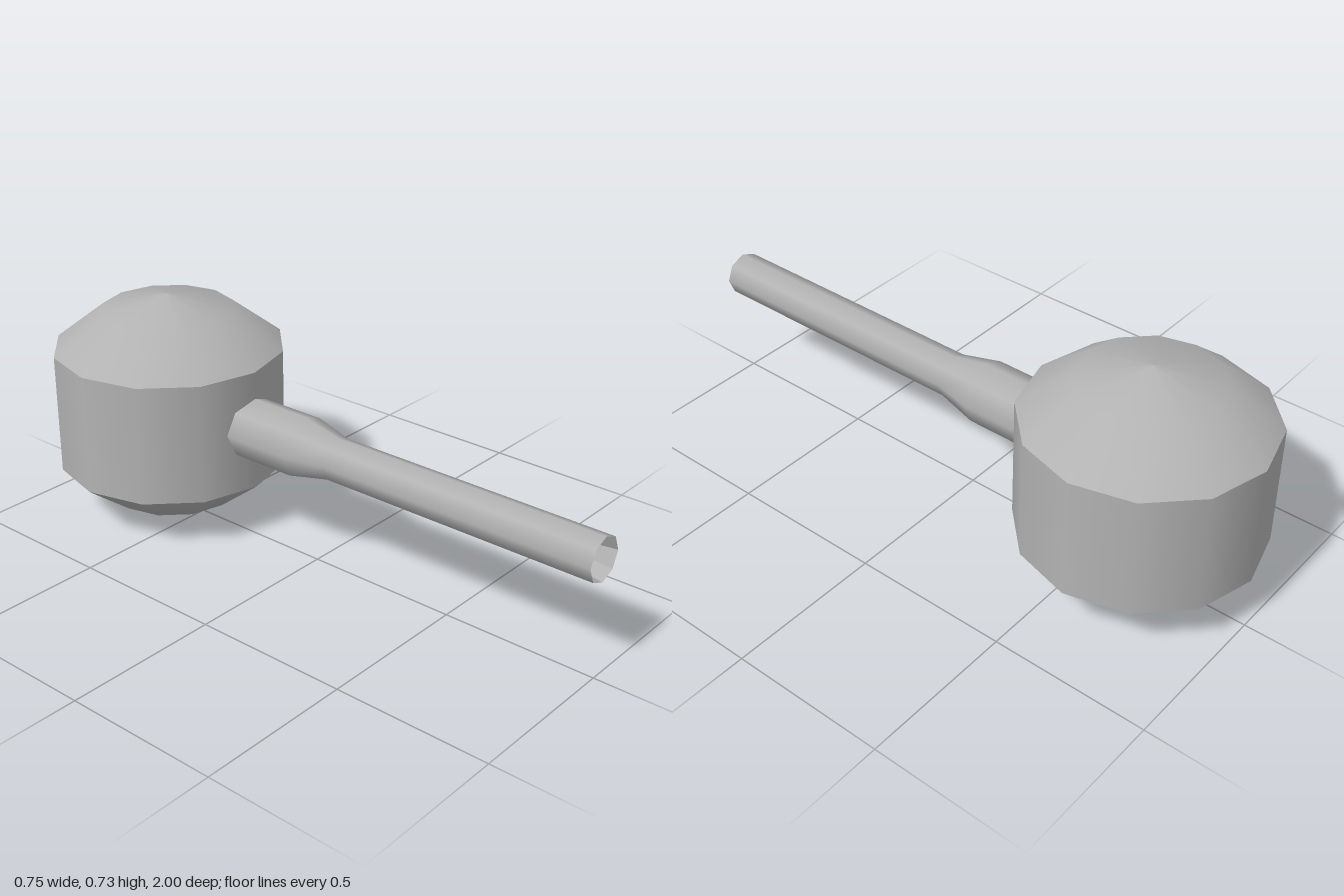
import * as THREE from 'three';
import { toCreasedNormals } from 'three/addons/utils/BufferGeometryUtils.js';

const grey = new THREE.MeshStandardMaterial({ color: 0xb2b2b2 });
grey.name = 'plain grey';

// Lathe mesh from [radius, height] pairs; rising profiles face outward
function turned(name, profile, sides, crease) {
  const points = profile.map(([r, y]) => new THREE.Vector2(r, y));
  let geometry = new THREE.LatheGeometry(points, sides);
  if (crease) geometry = toCreasedNormals(geometry, crease);
  const mesh = new THREE.Mesh(geometry, grey);
  mesh.name = name;
  return mesh;
}

export function createModel() {
  const model = new THREE.Group();
  model.name = 'model';

  // Twelve-sided head with sharp edges between the wall and the two domes
  const head = new THREE.Group();
  head.name = 'head';
  head.position.z = -0.627;
  head.add(
    turned('lowerDome', [[0, 0], [0.215, 0.049], [0.373, 0.171]], 12),
    turned('headWall', [[0.373, 0.171], [0.373, 0.563]], 12),
    turned('upperDome', [[0.373, 0.563], [0.215, 0.685], [0, 0.734]], 12),
  );

  // Eight-sided handle along z, thicker where it enters the head
  const handle = new THREE.Group();
  handle.name = 'handle';
  handle.position.y = 0.375;
  handle.rotation.x = Math.PI / 2;
  handle.add(
    turned('shaft', [[0.1, -0.33], [0.1, -0.05], [0.07, 0.08], [0.07, 1]], 8),
    // Faceted hollow narrowing to a small flat floor
    turned('bore', [[0.07, 1], [0.033, 0.8], [0, 0.8]], 8, 0.3),
  );

  model.add(head, handle);
  return model;
}
